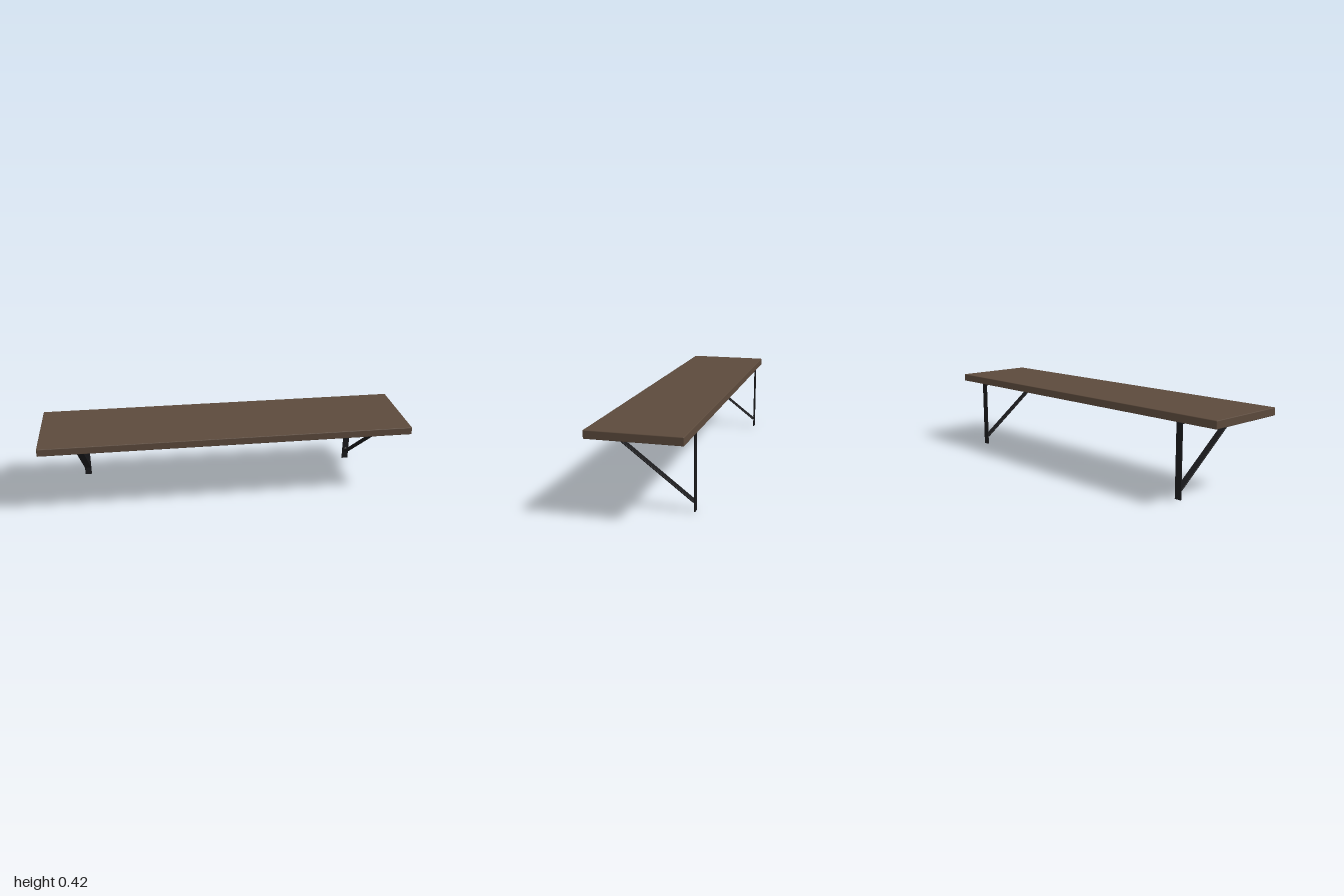
import * as THREE from 'three';
import { RoundedBoxGeometry } from 'three/addons/geometries/RoundedBoxGeometry.js';

const wood = new THREE.MeshStandardMaterial({ color: 0x5c4a3c });
const iron = new THREE.MeshStandardMaterial({ color: 0x1a1a1c });
const steel = new THREE.MeshStandardMaterial({ color: 0x555555 });

const WIDTH = 0.037; // bracket strip width
const THICK = 0.006; // bracket strip thickness

function add(parent, name, geometry, material, x, y, z) {
  const mesh = new THREE.Mesh(geometry, material);
  mesh.name = name;
  mesh.position.set(x, y, z);
  parent.add(mesh);
  return mesh;
}

// Flat iron strip running between two points of the (z, y) plane
function strip(parent, name, z0, y0, z1, y1) {
  const length = Math.hypot(z1 - z0, y1 - y0);
  const geometry = new RoundedBoxGeometry(WIDTH, THICK, length, 2, 0.0015);
  const mesh = add(parent, name, geometry, iron, 0, (y0 + y1) / 2, (z0 + z1) / 2);
  mesh.rotation.x = -Math.atan2(y1 - y0, z1 - z0);
}

function createBracket(x) {
  const bracket = new THREE.Group();
  bracket.name = x > 0 ? 'leftBracket' : 'rightBracket';
  bracket.position.x = x;
  strip(bracket, 'wallStrip', -0.227, 0, -0.227, 0.376);
  strip(bracket, 'shelfStrip', -0.229, 0.373, 0.206, 0.373);
  strip(bracket, 'brace', -0.223, 0.047, 0.197, 0.369);

  // Screw heads on the front of the wall strip
  for (const y of [0.068, 0.31]) {
    const screw = new THREE.CylinderGeometry(0.006, 0.006, 0.006, 16);
    add(bracket, 'screwHead', screw, steel, 0, y, -0.223).rotation.x = Math.PI / 2;
  }
  return bracket;
}

export function createModel() {
  const model = new THREE.Group();
  model.name = 'wallShelf';
  // Board with softened edges
  add(model, 'board', new RoundedBoxGeometry(2, 0.041, 0.464, 2, 0.004), wood, 0, 0.3965, 0);
  for (const side of [-1, 1]) model.add(createBracket(side * 0.784));
  return model;
}
